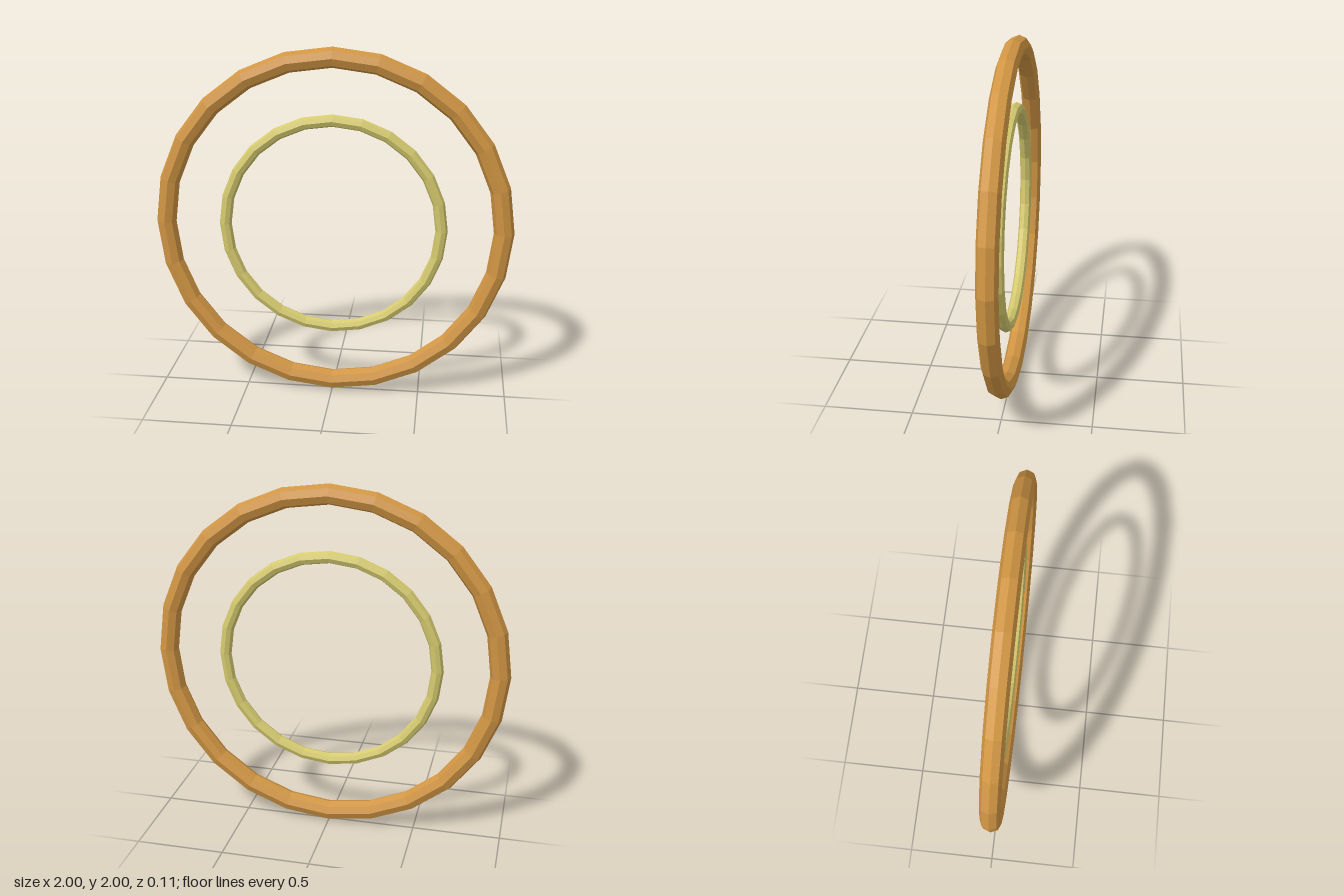
import * as THREE from 'three';

export function createModel() {
  const group = new THREE.Group();
  const bronze = new THREE.MeshStandardMaterial({ color: 0xd09543, flatShading: true });
  bronze.name = 'bronze';
  const paleGold = new THREE.MeshStandardMaterial({ color: 0xd4c96e, flatShading: true });
  paleGold.name = 'pale gold';

  // Upright faceted ring: eight-sided tube, 24 segments around
  function ring(name, radius, tube, material) {
    const mesh = new THREE.Mesh(new THREE.TorusGeometry(radius, tube, 8, 24), material);
    mesh.name = name;
    mesh.position.y = 1;
    group.add(mesh);
  }

  ring('outerRing', 0.944, 0.056, bronze);
  ring('innerRing', 0.604, 0.034, paleGold);
  return group;
}
